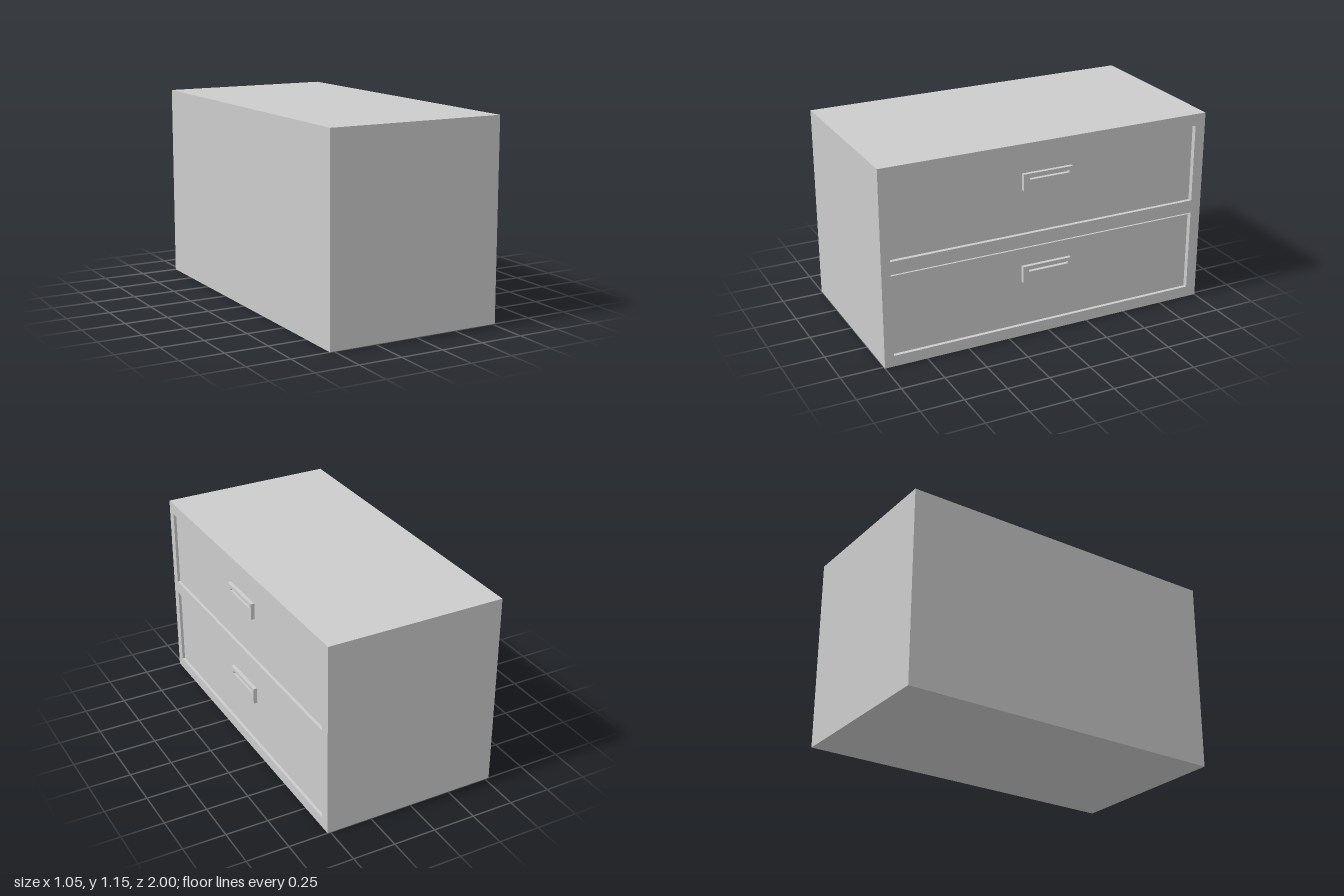
import * as THREE from 'three';

const material = new THREE.MeshStandardMaterial({ color: 0xcccccc, flatShading: true });

const BACK = -0.525, FACE = 0.518, HEIGHT = 1.155, WALL = 0.04;

// Outline of a rectangle; u runs along -z, v along y
function rect(Type, [u0, u1], [v0, v1]) {
  return new Type([[u0, v0], [u1, v0], [u1, v1], [u0, v1]].map(p => new THREE.Vector2(...p)));
}

// Rectangle with rectangular holes, extruded along x from x0 to x1
function slab(name, x0, x1, u, v, holes = []) {
  const shape = rect(THREE.Shape, u, v);
  for (const [hu, hv] of holes) shape.holes.push(rect(THREE.Path, hu, hv));
  const geometry = new THREE.ExtrudeGeometry(shape, { depth: x1 - x0, bevelEnabled: false });
  geometry.rotateY(Math.PI / 2).translate(x0, 0, 0);
  const mesh = new THREE.Mesh(geometry, material);
  mesh.name = name;
  return mesh;
}

const OPENING_U = [-0.947, 0.937], DRAWER_U = [-0.942, 0.927];
const DRAWERS = [
  { name: 'lowerDrawer', opening: [0.065, 0.548], front: [0.069, 0.534], handle: 0.334 },
  { name: 'upperDrawer', opening: [0.625, 1.085], front: [0.629, 1.081], handle: 0.884 },
];

function makeDrawer({ name, front: [v0, v1], handle }) {
  const drawer = new THREE.Group();
  drawer.name = name;
  const face = FACE - 0.015, inner = face - 0.03, tail = BACK + WALL + 0.02;
  const [u0, u1] = DRAWER_U, t = 0.02;

  // Front panel, set slightly back into the cabinet
  drawer.add(slab('drawerFront', inner, face, DRAWER_U, [v0, v1]));

  // Open tray behind the front
  const top = v1 - 0.06;
  drawer.add(slab('drawerBottom', tail, inner, DRAWER_U, [v0, v0 + t]));
  drawer.add(slab('drawerSide', tail, inner, [u0, u0 + t], [v0 + t, top]));
  drawer.add(slab('drawerSide', tail, inner, [u1 - t, u1], [v0 + t, top]));
  drawer.add(slab('drawerBack', tail, tail + t, [u0 + t, u1 - t], [v0 + t, top]));

  // Handle plate with a finger slot
  drawer.add(slab('handlePlate', face, 0.525, [-0.165, 0.135], [handle, handle + 0.097],
    [[[-0.13, 0.115], [handle + 0.062, handle + 0.077]]]));
  return drawer;
}

export function createModel() {
  const model = new THREE.Group();
  model.name = 'drawerCabinet';

  // Cabinet body with two openings, closed by a back panel
  model.add(slab('cabinetBody', BACK + WALL, FACE, [-1, 1], [0, HEIGHT],
    DRAWERS.map(d => [OPENING_U, d.opening])));
  model.add(slab('backPanel', BACK, BACK + WALL, [-1, 1], [0, HEIGHT]));

  for (const d of DRAWERS) model.add(makeDrawer(d));
  return model;
}
